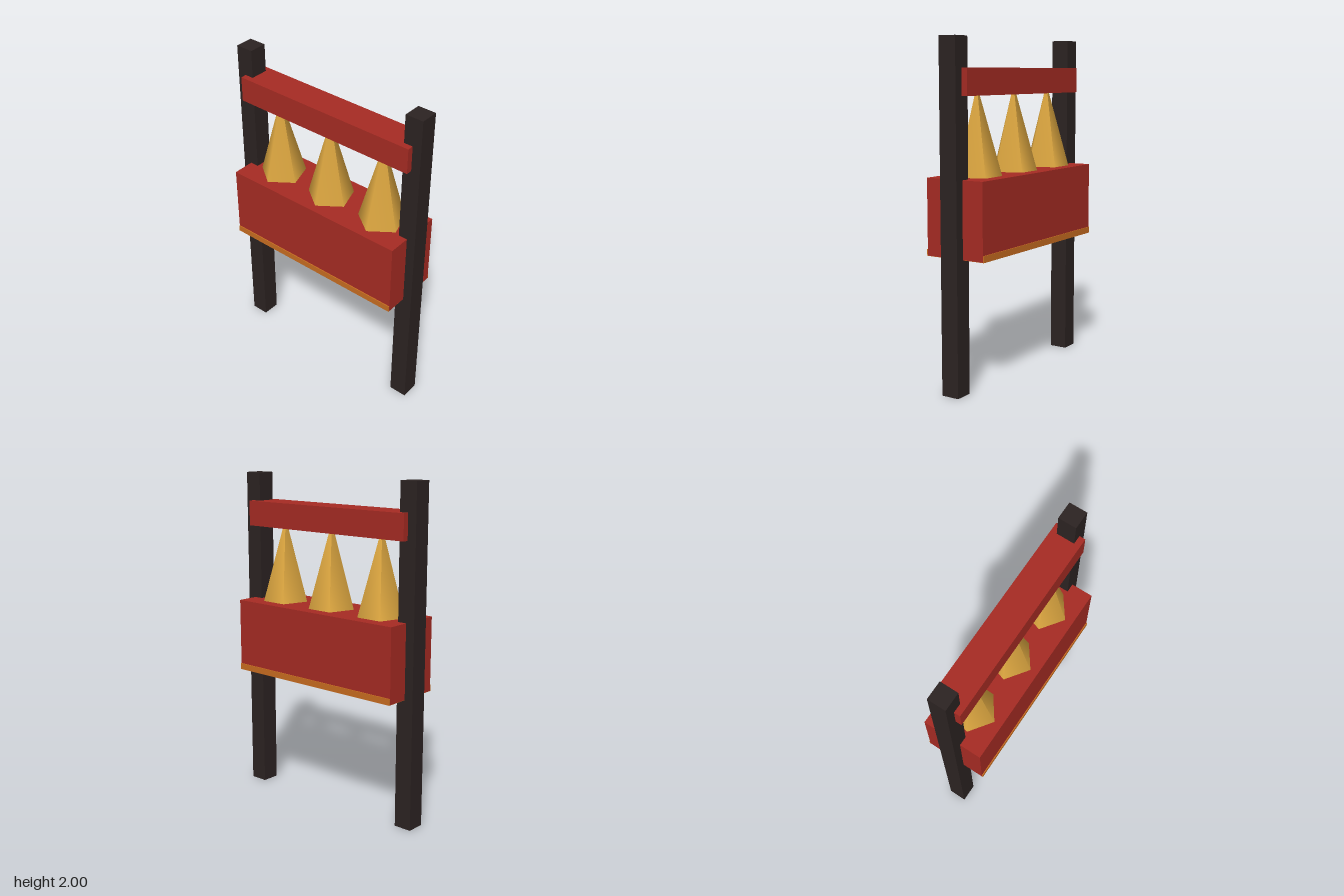
import * as THREE from 'three';

const mat = (name, color) => {
  const m = new THREE.MeshStandardMaterial({ color });
  m.name = name;
  return m;
};

export function createModel() {
  const group = new THREE.Group();
  const wood = mat('darkWood', 0x2c2322);
  const red = mat('redPaint', 0xa62b23);
  const gold = mat('gold', 0xdca640);
  const orange = mat('orangeTrim', 0xc86c20);

  const add = (name, geometry, material, x, y, z) => {
    const mesh = new THREE.Mesh(geometry, material);
    mesh.name = name;
    mesh.position.set(x, y, z);
    group.add(mesh);
  };
  // box spanning y0..y1, centred on z = 0
  const box = (name, material, w, d, y0, y1, x = 0) =>
    add(name, new THREE.BoxGeometry(w, y1 - y0, d), material, x, (y0 + y1) / 2, 0);

  // upright posts
  box('leftPost', wood, 0.11, 0.11, 0, 2, 0.594);
  box('rightPost', wood, 0.11, 0.11, 0, 2, -0.594);

  // crossbeam, trough and its bottom trim
  box('crossbeam', red, 1.188, 0.184, 1.678, 1.83);
  box('trough', red, 1.188, 0.378, 0.78, 1.222);
  box('bottomTrim', orange, 1.186, 0.39, 0.778, 0.816);

  // five-sided cones standing on the trough, tips inside the beam
  for (const x of [-0.375, 0, 0.375]) {
    const y0 = 1.215, y1 = 1.735;
    add('cone', new THREE.ConeGeometry(0.143, y1 - y0, 5), gold, x, (y0 + y1) / 2, 0);
  }
  return group;
}
